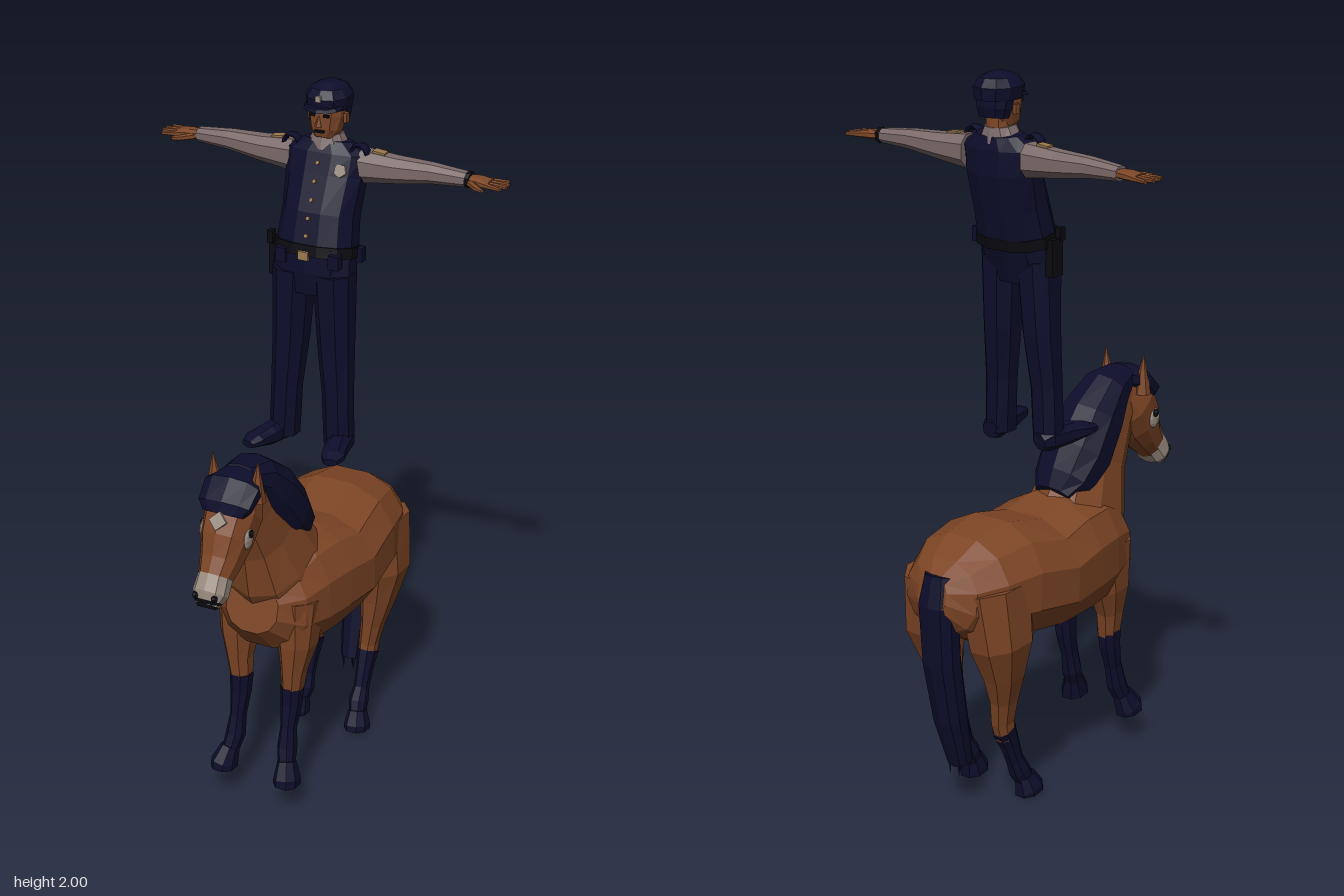
import * as THREE from 'three';

const mat = (name, color) => Object.assign(new THREE.MeshStandardMaterial({ color, flatShading: true }), { name });

export function createModel() {
  const coat = mat('chestnut coat', 0x7d4525);
  const navy = mat('dark navy', 0x0d0d2b);
  const shirt = mat('shirt grey', 0x7c6a6a);
  const skin = mat('skin brown', 0x7e4828);
  const pale = mat('pale grey', 0x9a8c80);
  const black = mat('black', 0x0a0a10);
  const brass = mat('brass', 0x9c7a4c);

  const root = new THREE.Group();
  root.name = 'riderAndHorse';
  const horse = new THREE.Group();
  horse.name = 'horse';
  const rider = new THREE.Group();
  rider.name = 'rider';
  root.add(horse, rider);

  const X = new THREE.Vector3(1, 0, 0), Z = new THREE.Vector3(0, 0, 1);
  const bend = (v, e) => Math.sign(v) * Math.pow(Math.abs(v), e);

  function add(parent, name, geo, material, x = 0, y = 0, z = 0) {
    const m = new THREE.Mesh(geo, material);
    m.name = name;
    m.position.set(x, y, z);
    parent.add(m);
    return m;
  }

  // Skin a closed form over sections [x, y, z, half width along side, half depth]
  function loft(parent, name, material, secs, side = X, n = 10, e = 0.88) {
    const c = secs.map(s => new THREE.Vector3(s[0], s[1], s[2]));
    const pos = [], idx = [];
    secs.forEach((s, i) => {
      const t = c[Math.min(i + 1, c.length - 1)].clone().sub(c[Math.max(i - 1, 0)]).normalize();
      const o = t.clone().cross(side).normalize();
      const w = o.clone().cross(t);
      for (let j = 0; j < n; j++) {
        const a = (j + 0.5) / n * Math.PI * 2;
        const p = c[i].clone().addScaledVector(w, s[3] * bend(Math.cos(a), e)).addScaledVector(o, s[4] * bend(Math.sin(a), e));
        pos.push(p.x, p.y, p.z);
      }
    });
    const last = secs.length - 1, k = secs.length * n;
    pos.push(...c[0].toArray(), ...c[last].toArray());
    for (let j = 0; j < n; j++) {
      const q = (j + 1) % n;
      for (let i = 0; i < last; i++) {
        const a = i * n + j, b = i * n + q;
        idx.push(a, b, b + n, a, b + n, a + n);
      }
      idx.push(k, q, j, k + 1, last * n + j, last * n + q);
    }
    const g = new THREE.BufferGeometry();
    g.setAttribute('position', new THREE.Float32BufferAttribute(pos, 3));
    g.setIndex(idx);
    const flat = g.toNonIndexed();
    flat.computeVertexNormals();
    return add(parent, name, flat, material);
  }
  // The same form on the model's left and right
  function pair(parent, name, material, secs, side = X, n = 8) {
    for (const s of [1, -1]) loft(parent, (s > 0 ? 'left' : 'right') + name, material, secs.map(p => [p[0] * s, ...p.slice(1)]), side, n);
  }

  // Horse: barrel, neck and head
  loft(horse, 'body', coat, [
    [0, 0.65, -0.50, 0.05, 0.05], [0, 0.64, -0.46, 0.125, 0.10], [0, 0.635, -0.38, 0.17, 0.15],
    [0, 0.635, -0.27, 0.193, 0.172], [0, 0.612, -0.12, 0.203, 0.163], [0, 0.622, 0, 0.187, 0.178],
    [0, 0.625, 0.1, 0.168, 0.175], [0, 0.625, 0.19, 0.14, 0.135], [0, 0.64, 0.25, 0.08, 0.075]], X, 12);
  loft(horse, 'neck', coat, [
    [0, 0.68, 0.09, 0.135, 0.15], [0, 0.75, 0.135, 0.115, 0.15], [0, 0.86, 0.185, 0.082, 0.12],
    [0, 0.96, 0.25, 0.064, 0.10], [0, 1.03, 0.31, 0.055, 0.06]]);
  loft(horse, 'head', coat, [
    [0, 1.04, 0.29, 0.05, 0.05], [0, 0.98, 0.345, 0.075, 0.085], [0, 0.92, 0.385, 0.068, 0.08],
    [0, 0.87, 0.42, 0.056, 0.06], [0, 0.825, 0.46, 0.043, 0.046]]);
  loft(horse, 'muzzle', pale, [
    [0, 0.838, 0.452, 0.046, 0.048], [0, 0.80, 0.48, 0.049, 0.044], [0, 0.775, 0.50, 0.032, 0.024]]);
  loft(horse, 'lips', black, [[0, 0.785, 0.492, 0.04, 0.033], [0, 0.768, 0.503, 0.026, 0.018]]);

  // Mane, forelock and tail
  loft(horse, 'mane', navy, [
    [0, 0.79, 0.01, 0.06, 0.035], [0, 0.82, 0.055, 0.09, 0.068], [0, 0.885, 0.115, 0.103, 0.088],
    [0, 0.975, 0.185, 0.092, 0.085], [0, 1.045, 0.25, 0.073, 0.06], [0, 1.075, 0.32, 0.05, 0.03]]);
  loft(horse, 'forelock', navy, [
    [0, 1.07, 0.29, 0.05, 0.03], [0, 1.055, 0.35, 0.083, 0.04], [0, 1.02, 0.395, 0.078, 0.03], [0, 1.0, 0.405, 0.06, 0.02]]);
  loft(horse, 'tail', navy, [
    [0, 0.70, -0.465, 0.045, 0.035], [0, 0.62, -0.475, 0.06, 0.045], [0, 0.45, -0.465, 0.055, 0.046],
    [0, 0.28, -0.433, 0.048, 0.044], [0, 0.135, -0.395, 0.035, 0.032]]);
  for (let i = 0; i < 4; i++) {
    const wisp = add(horse, 'tailWisp', new THREE.ConeGeometry(0.008, 0.06, 4), navy, -0.024 + i * 0.016, 0.12, -0.385 - (i % 2) * 0.025);
    wisp.rotation.x = Math.PI;
  }

  // Face details
  add(horse, 'foreheadStar', new THREE.CylinderGeometry(0.026, 0.026, 0.008, 4), pale, 0, 0.993, 0.434).rotation.x = 1.07;
  for (const s of [1, -1]) {
    const ear = add(horse, 'ear', new THREE.ConeGeometry(0.028, 0.12, 6), coat, s * 0.064, 1.08, 0.335);
    ear.scale.z = 0.8;
    ear.rotation.z = -s * 0.05;
    add(horse, 'eyePatch', new THREE.SphereGeometry(1, 8, 6), pale, s * 0.066, 0.935, 0.39).scale.set(0.009, 0.03, 0.024);
    add(horse, 'eye', new THREE.SphereGeometry(0.012, 6, 5), black, s * 0.069, 0.95, 0.388);
    add(horse, 'nostril', new THREE.SphereGeometry(0.01, 6, 5), black, s * 0.028, 0.805, 0.511);
  }

  // Legs
  pair(horse, 'FrontLeg', coat, [
    [0.085, 0.64, 0.13, 0.07, 0.095], [0.09, 0.5, 0.15, 0.052, 0.068], [0.085, 0.42, 0.163, 0.036, 0.045], [0.08, 0.345, 0.165, 0.029, 0.034]]);
  pair(horse, 'FrontSock', navy, [
    [0.08, 0.365, 0.165, 0.032, 0.037], [0.08, 0.31, 0.17, 0.029, 0.033], [0.08, 0.24, 0.187, 0.022, 0.028],
    [0.082, 0.18, 0.2, 0.027, 0.031], [0.09, 0.13, 0.222, 0.023, 0.026]]);
  pair(horse, 'FrontHoof', navy, [[0.09, 0.145, 0.218, 0.026, 0.03], [0.1, 0.10, 0.237, 0.037, 0.044], [0.1, 0.085, 0.239, 0.036, 0.043]]);
  pair(horse, 'HindLeg', coat, [
    [0.095, 0.66, -0.355, 0.085, 0.115], [0.115, 0.5, -0.35, 0.075, 0.10], [0.11, 0.40, -0.335, 0.05, 0.066],
    [0.1, 0.32, -0.325, 0.034, 0.046], [0.09, 0.25, -0.32, 0.028, 0.037], [0.09, 0.2, -0.308, 0.025, 0.032]]);
  pair(horse, 'HindSock', navy, [
    [0.09, 0.225, -0.315, 0.029, 0.037], [0.09, 0.17, -0.29, 0.024, 0.029], [0.09, 0.12, -0.272, 0.022, 0.026],
    [0.09, 0.08, -0.252, 0.028, 0.031], [0.095, 0.045, -0.232, 0.024, 0.027]]);
  pair(horse, 'HindHoof', navy, [[0.095, 0.06, -0.235, 0.026, 0.03], [0.1, 0.02, -0.222, 0.037, 0.044], [0.1, 0.007, -0.22, 0.036, 0.044]]);
  for (const s of [1, -1]) for (const [y, z] of [[0.081, 0.238], [0.004, -0.22]])
    add(horse, 'sole', new THREE.CylinderGeometry(0.024, 0.024, 0.008, 8), coat, s * 0.1, y, z);

  // Rider: trousers, shoes, vest and belt
  loft(rider, 'hips', navy, [[0, 1.44, -0.125, 0.09, 0.055], [0, 1.5, -0.128, 0.118, 0.068], [0, 1.57, -0.14, 0.115, 0.08]]);
  pair(rider, 'TrouserLeg', navy, [
    [0.06, 1.5, -0.125, 0.058, 0.063], [0.068, 1.3, -0.122, 0.05, 0.054], [0.078, 1.15, -0.115, 0.043, 0.043], [0.084, 1.0, -0.113, 0.041, 0.045]]);
  pair(rider, 'Shoe', navy, [
    [0.085, 1.005, -0.155, 0.025, 0.025], [0.09, 1.01, -0.13, 0.033, 0.035], [0.105, 1.012, -0.05, 0.034, 0.03],
    [0.12, 1.013, 0, 0.034, 0.019], [0.126, 1.01, 0.03, 0.02, 0.011]]);
  loft(rider, 'vest', navy, [
    [0, 1.55, -0.14, 0.116, 0.082], [0, 1.65, -0.165, 0.108, 0.08], [0, 1.75, -0.195, 0.115, 0.068],
    [0, 1.81, -0.205, 0.118, 0.055], [0, 1.842, -0.21, 0.07, 0.042]], X, 12);
  loft(rider, 'belt', black, [[0, 1.545, -0.139, 0.121, 0.085], [0, 1.575, -0.144, 0.119, 0.085]], X, 12);
  add(rider, 'buckle', new THREE.BoxGeometry(0.03, 0.024, 0.008), brass, 0, 1.56, -0.056);
  for (const [x, z] of [[0.085, -0.075], [-0.07, -0.07], [0.115, -0.16]])
    add(rider, 'beltPouch', new THREE.BoxGeometry(0.03, 0.04, 0.025), navy, x, 1.55, z);
  add(rider, 'holster', new THREE.BoxGeometry(0.024, 0.1, 0.045), black, -0.12, 1.515, -0.135);
  add(rider, 'grip', new THREE.BoxGeometry(0.016, 0.035, 0.022), black, -0.125, 1.575, -0.115);

  // Vest buttons, badge and shoulder straps
  for (let i = 0; i < 5; i++) {
    const b = add(rider, 'button', new THREE.CylinderGeometry(0.006, 0.006, 0.008, 6), brass, 0, 1.61 + i * 0.046, [-0.073, -0.084, -0.104, -0.122, -0.141][i]);
    b.rotation.x = Math.PI / 2 - 0.35;
  }
  add(rider, 'badge', new THREE.CylinderGeometry(0.019, 0.019, 0.008, 5), pale, 0.065, 1.78, -0.145).rotation.x = 1.2;

  // Arms, hands and fingers
  pair(rider, 'Sleeve', shirt, [
    [0.1, 1.783, -0.21, 0.042, 0.048], [0.2, 1.785, -0.212, 0.038, 0.037], [0.3, 1.79, -0.216, 0.03, 0.028], [0.4, 1.788, -0.22, 0.023, 0.02]], Z);
  pair(rider, 'Hand', skin, [
    [0.385, 1.788, -0.22, 0.018, 0.012], [0.43, 1.788, -0.222, 0.029, 0.013], [0.462, 1.786, -0.222, 0.032, 0.01]], Z);
  pair(rider, 'Thumb', skin, [[0.41, 1.785, -0.205, 0.011, 0.009], [0.44, 1.783, -0.178, 0.009, 0.008], [0.46, 1.782, -0.168, 0.006, 0.005]], Z, 6);
  for (let i = 0; i < 4; i++) {
    const d = i - 1.5, tip = 0.515 - Math.abs(d) * 0.009;
    pair(rider, 'Finger', skin, [[0.45, 1.786, -0.222 + d * 0.014, 0.008, 0.008], [tip, 1.785, -0.222 + d * 0.022, 0.006, 0.005]], Z, 6);
  }
  loft(rider, 'watch', black, [[0.396, 1.788, -0.22, 0.025, 0.021], [0.408, 1.788, -0.22, 0.025, 0.021]], Z, 8);
  for (const s of [1, -1]) {
    add(rider, 'shoulderPatch', new THREE.BoxGeometry(0.035, 0.008, 0.026), brass, s * 0.15, 1.825, -0.21).rotation.z = -s * 0.1;
    const strap = add(rider, 'shoulderStrap', new THREE.TorusGeometry(0.022, 0.006, 5, 8, Math.PI), navy, s * 0.1, 1.822, -0.19);
    strap.scale.z = 3;
  }

  // Neck, head and cap
  loft(rider, 'collar', shirt, [[0, 1.822, -0.205, 0.062, 0.05], [0, 1.862, -0.208, 0.04, 0.04]]);
  loft(rider, 'neck', skin, [[0, 1.83, -0.212, 0.034, 0.034], [0, 1.9, -0.208, 0.034, 0.038]]);
  loft(rider, 'face', skin, [
    [0, 1.85, -0.18, 0.024, 0.024], [0, 1.872, -0.19, 0.041, 0.042], [0, 1.91, -0.2, 0.049, 0.054], [0, 1.95, -0.205, 0.05, 0.058]]);
  loft(rider, 'hair', navy, [[0, 1.885, -0.232, 0.042, 0.034], [0, 1.91, -0.23, 0.05, 0.042], [0, 1.95, -0.225, 0.053, 0.048]]);
  const nose = add(rider, 'nose', new THREE.ConeGeometry(0.011, 0.032, 4), skin, 0, 1.908, -0.144);
  nose.rotation.x = -0.25;
  add(rider, 'mouth', new THREE.BoxGeometry(0.026, 0.006, 0.008), black, 0, 1.878, -0.149);
  for (const s of [1, -1]) {
    add(rider, 'eye', new THREE.BoxGeometry(0.014, 0.007, 0.008), black, s * 0.02, 1.922, -0.15);
    add(rider, 'ear', new THREE.BoxGeometry(0.01, 0.026, 0.016), skin, s * 0.052, 1.908, -0.205);
  }
  loft(rider, 'cap', navy, [
    [0, 1.932, -0.212, 0.057, 0.068], [0, 1.965, -0.212, 0.062, 0.07], [0, 1.988, -0.212, 0.046, 0.055], [0, 2.0, -0.212, 0.02, 0.025]]);
  const brim = add(rider, 'capBrim', new THREE.CylinderGeometry(0.05, 0.056, 0.009, 12), navy, 0, 1.944, -0.175);
  brim.scale.z = 0.85;
  brim.rotation.x = 0.15;
  add(rider, 'capBadge', new THREE.BoxGeometry(0.014, 0.016, 0.008), pale, 0, 1.968, -0.143);

  return root;
}
